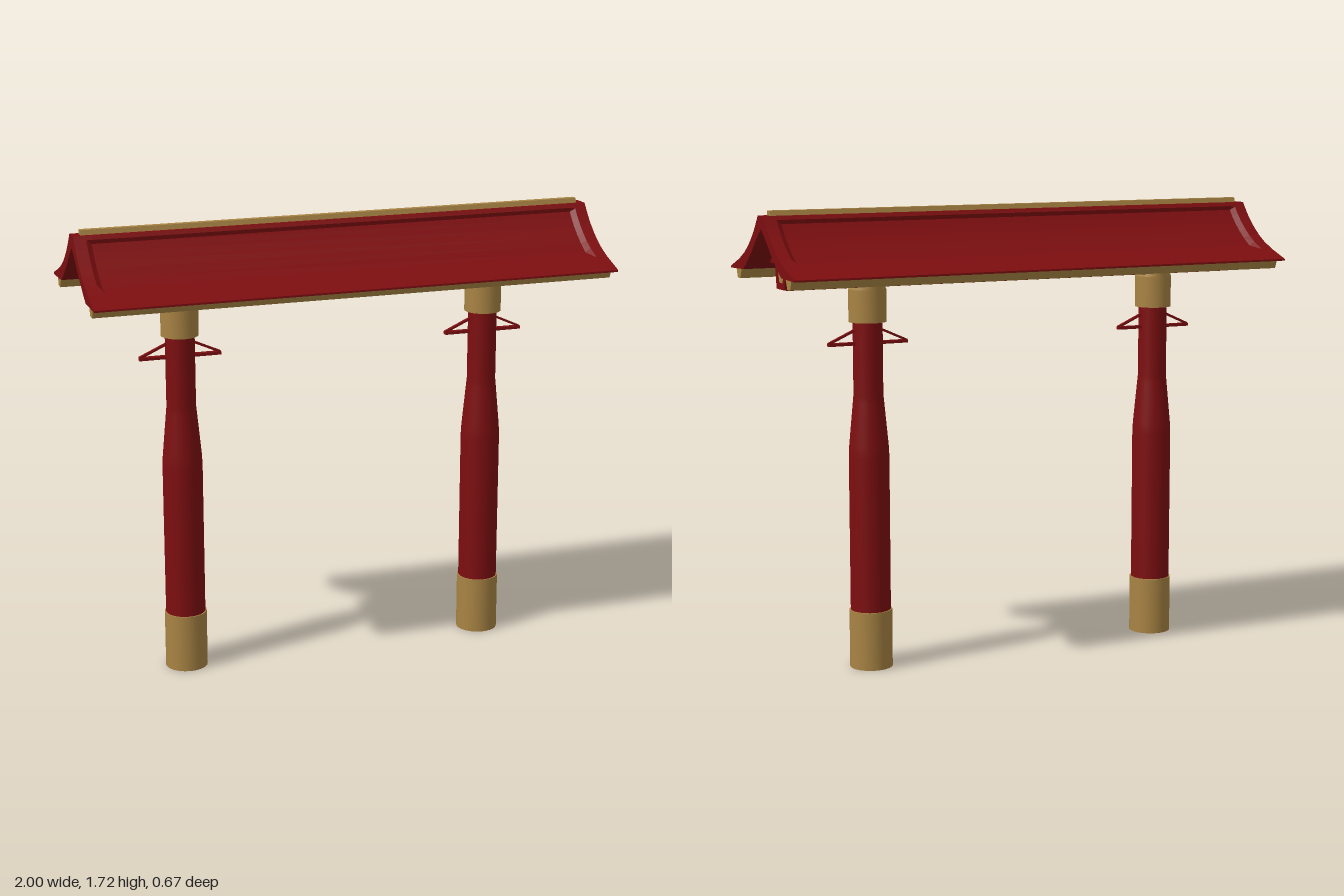
import * as THREE from 'three';

const red = new THREE.MeshStandardMaterial({ color: 0x7d0e10 });
red.name = 'red lacquer';
const gold = new THREE.MeshStandardMaterial({ color: 0xa98444 });
gold.name = 'gold trim';

function add(parent, name, geometry, material, x = 0, y = 0, z = 0) {
  const mesh = new THREE.Mesh(geometry, material);
  mesh.name = name;
  mesh.position.set(x, y, z);
  parent.add(mesh);
  return mesh;
}

// Completes a symmetric outline from its right half, listed bottom to top
function mirrored(half) {
  const left = half.filter(p => p[0] > 0).map(([u, y]) => [-u, y]).reverse();
  return [...half, ...left].map(([u, y]) => new THREE.Vector2(u, y));
}

// Prism along x with a constant cross-section, centred on x = 0
function prism(outline, length, hole) {
  const shape = new THREE.Shape(outline);
  if (hole) shape.holes.push(new THREE.Path(hole));
  return new THREE.ExtrudeGeometry(shape, { depth: length, bevelEnabled: false })
    .translate(0, 0, -length / 2).rotateY(Math.PI / 2);
}

// Solid through counter-clockwise cross-sections at the given stations along x
function loft(sections) {
  const pos = [];
  const put = (p, w) => pos.push(p.x, p.y, w);
  for (let s = 0; s < sections.length - 1; s++) {
    const [w0, a] = sections[s], [w1, b] = sections[s + 1];
    for (let i = 0; i < a.length; i++) {
      const j = (i + 1) % a.length;
      put(a[i], w0); put(a[j], w0); put(b[j], w1);
      put(a[i], w0); put(b[j], w1); put(b[i], w1);
    }
  }
  const [w0, first] = sections[0], [w1, last] = sections[sections.length - 1];
  for (const [a, b, c] of THREE.ShapeUtils.triangulateShape(first, [])) {
    put(first[a], w0); put(first[c], w0); put(first[b], w0);
    put(last[a], w1); put(last[b], w1); put(last[c], w1);
  }
  const g = new THREE.BufferGeometry();
  g.setAttribute('position', new THREE.Float32BufferAttribute(pos, 3));
  g.rotateY(Math.PI / 2);
  g.computeVertexNormals();
  return g;
}

function buildRoof() {
  const roof = new THREE.Group();
  roof.name = 'roof';

  // Curved shell with a sunken panel on each slope
  const under = [[0, 1.65], [0.05, 1.612], [0.1, 1.565], [0.165, 1.515], [0.2, 1.492], [0.333, 1.488]];
  const eave = [[0.333, 1.495], [0.24, 1.528]];
  const ridge = [[0.04, 1.683], [0.03, 1.697]];
  const full = mirrored([...under, ...eave,
    [0.186, 1.553], [0.15, 1.575], [0.118, 1.6], [0.088, 1.627], [0.062, 1.655], [0.043, 1.68], ...ridge]);
  const sunk = mirrored([...under, ...eave,
    [0.183, 1.538], [0.143, 1.564], [0.111, 1.589], [0.081, 1.616], [0.055, 1.644], [0.037, 1.668], ...ridge]);
  add(roof, 'roofShell', loft([[-1, full], [-0.955, full], [-0.935, sunk],
    [0.935, sunk], [0.955, full], [1, full]]), red);

  // Ridge cap
  add(roof, 'ridgeCap', prism(mirrored([[0.017, 1.695], [0.012, 1.715]]), 1.94), gold);

  // Tapered bars under the eaves
  const bar = mirrored([[0.014, 1.455], [0.028, 1.489]]);
  for (const side of [-1, 1]) add(roof, 'eaveBar', prism(bar, 1.99), gold, 0, 0, side * 0.26);

  // Gable body and hanging beam
  add(roof, 'gableBody', prism(mirrored([[0, 1.545], [0.08, 1.55], [0.08, 1.516],
    [0.165, 1.516], [0.1, 1.567], [0.05, 1.614], [0, 1.652]]), 1.82), red);
  add(roof, 'beam', prism(mirrored([[0.042, 1.43], [0.056, 1.51],
    [0.065, 1.52], [0.065, 1.56]]), 1.84), red);

  // Framed gold emblems on both ends
  const emblems = [
    [[[0.04, 1.432], [0.052, 1.505], [0.042, 1.535]], [[0.021, 1.455], [0.037, 1.503], [0.033, 1.522]]],
    [[[0.06, 1.548], [0.032, 1.603]], [[0.043, 1.56], [0.025, 1.59]]],
  ];
  for (const side of [-1, 1]) {
    for (const [outer, inner] of emblems) {
      add(roof, 'emblemFrame', prism(mirrored(outer), 0.02, mirrored(inner)), red, side * 0.92);
      add(roof, 'emblemPlate', prism(mirrored(inner), 0.008), gold, side * 0.922);
    }
  }
  return roof;
}

function buildPost() {
  const post = new THREE.Group();
  post.name = 'post';
  add(post, 'postBase', new THREE.CylinderGeometry(0.08, 0.08, 0.22, 32), gold, 0, 0.11);

  // Shaft narrowing towards the top
  const shaft = [[0.075, 0.2], [0.075, 0.8], [0.073, 0.84], [0.058, 1.0], [0.055, 1.03], [0.055, 1.32]];
  add(post, 'postShaft', new THREE.LatheGeometry(shaft.map(p => new THREE.Vector2(...p)), 32), red);

  // Capital with a wedge-shaped head
  add(post, 'capital', new THREE.CylinderGeometry(0.07, 0.07, 0.12, 32), gold, 0, 1.36);
  const wedge = new THREE.CylinderGeometry(0.07, 0.07, 0.097, 32);
  const p = wedge.attributes.position;
  for (let i = 0; i < p.count; i++) if (p.getY(i) > 0) p.setX(i, p.getX(i) * 0.4);
  wedge.computeVertexNormals();
  add(post, 'capitalHead', wedge, gold, 0, 1.4675);

  // Thin triangular brackets on both sides
  for (const side of [-1, 1]) {
    add(post, 'bracketArm', new THREE.BoxGeometry(0.12, 0.011, 0.022), red, side * 0.095, 1.221);
    const strut = add(post, 'bracketStrut', new THREE.BoxGeometry(0.118, 0.008, 0.014), red, side * 0.1, 1.249);
    strut.rotation.z = -side * 0.42;
  }
  return post;
}

export function createModel() {
  const model = new THREE.Group();
  model.name = 'gate';
  model.add(buildRoof());
  for (const side of [-1, 1]) {
    const post = buildPost();
    post.position.x = side * 0.6;
    post.position.x += side < 0 ? -0.01 : -0.005;
    model.add(post);
  }
  return model;
}
